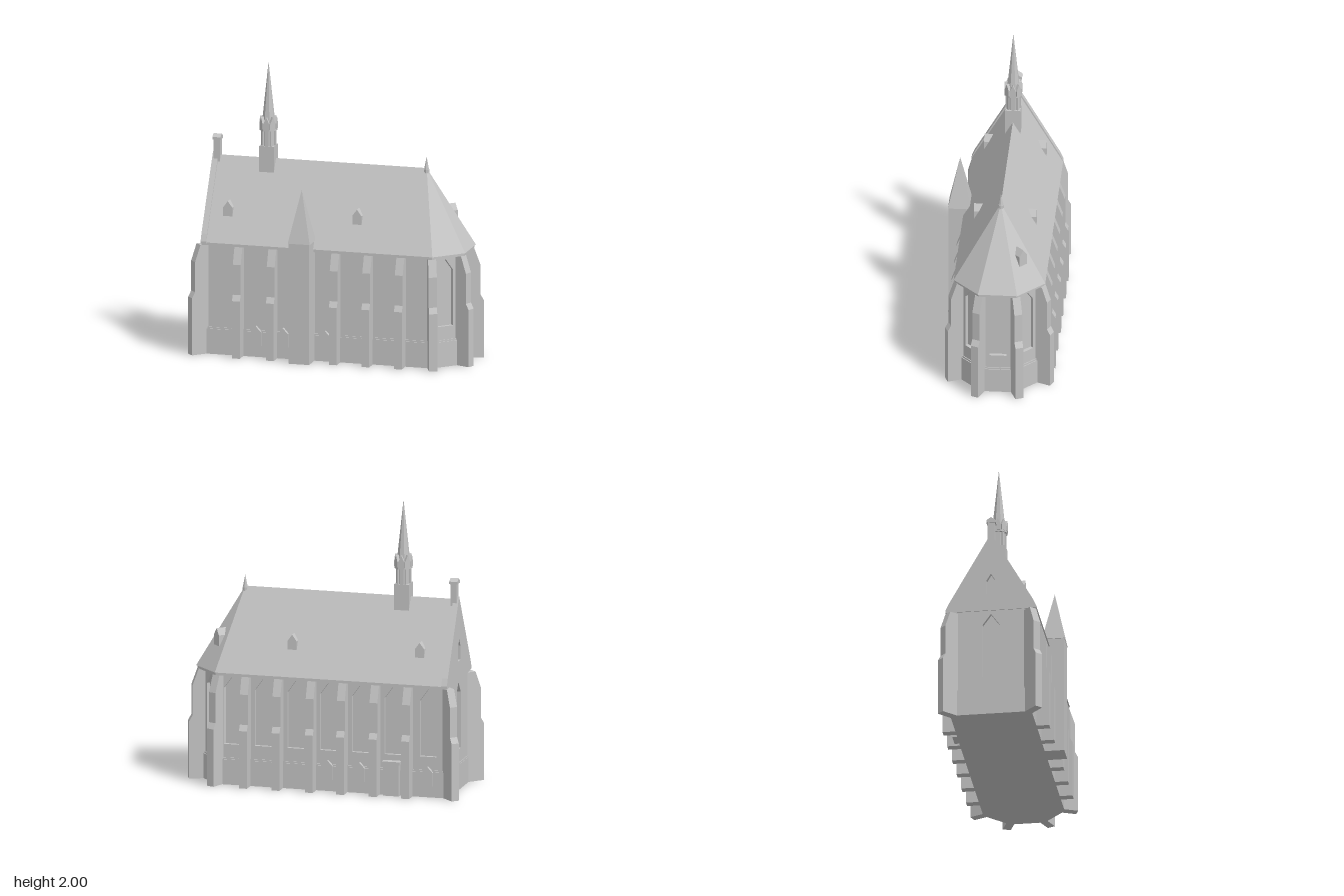
import * as THREE from 'three';

const ZC = -0.0225; // ridge line
const HW = 0.2675;  // half width of the nave walls
const T = Math.tan(Math.PI / 8);

export function createModel() {
  const root = new THREE.Group();
  root.name = 'chapel';
  const stone = new THREE.MeshStandardMaterial({ color: 0xc4c4c4 });
  stone.name = 'stoneGrey';
  stone.flatShading = true;

  const add = (name, geo, x = 0, y = 0, z = 0, ry = 0) => {
    const m = new THREE.Mesh(geo, stone);
    m.name = name;
    m.position.set(x, y, z);
    m.rotation.y = ry;
    root.add(m);
    return m;
  };
  const box = (name, w, h, d, x, y, z) => add(name, new THREE.BoxGeometry(w, h, d), x, y + h / 2, z);
  const shapeOf = pts => new THREE.Shape(pts.map(p => new THREE.Vector2(p[0], p[1])));
  const extrude = (shape, depth) => new THREE.ExtrudeGeometry(shape, { depth, bevelEnabled: false });

  // pointed outline, used for windows, dormers and gablets
  const pointed = (u, w, y0, y1, top) => [
    [u - w / 2, y0], [u + w / 2, y0], [u + w / 2, y1], [u, top], [u - w / 2, y1]];

  // plan outline, pushed outwards by o (west side by ow)
  const foot = (o, ow = 0) => [
    [-0.905 - ow, ZC + HW + o], [0.71 + T * o, ZC + HW + o], [0.865 + o, ZC + 0.115 + T * o],
    [0.865 + o, ZC - 0.115 - T * o], [0.71 + T * o, ZC - HW - o], [-0.905 - ow, ZC - HW - o]];
  const prism = (name, pts, y, h) => {
    const g = extrude(shapeOf(pts.map(p => [p[0], -p[1]])), h);
    g.rotateX(-Math.PI / 2);
    return add(name, g, 0, y, 0);
  };

  // solid core, plinth and eaves
  prism('wallCore', foot(-0.025, -0.025), 0, 0.78);
  prism('plinth', foot(0.012, 0.006), 0, 0.175);
  prism('plinthMoulding', foot(0.006, 0.004), 0.175, 0.012);
  prism('eavesBand', foot(0.037, 0), 0.765, 0.02);

  // outer wall skins with pointed window openings
  const P = foot(0);
  const backBays = [-0.765, -0.515, -0.285, -0.06, 0.17, 0.4, 0.62];
  const mid = (-0.905 + 0.71) / 2;
  const openings = [[], [0], [0], [0], backBays.map(x => mid - x), [0]];
  P.forEach((a, i) => {
    const b = P[(i + 1) % P.length];
    const dx = b[0] - a[0], dz = b[1] - a[1], len = Math.hypot(dx, dz);
    const s = shapeOf([[-len / 2, 0], [len / 2, 0], [len / 2, 0.78], [-len / 2, 0.78]]);
    for (const u of openings[i]) {
      s.holes.push(new THREE.Path(shapeOf(pointed(u, 0.115, 0.28, 0.67, 0.75)).getPoints()));
    }
    const ry = Math.atan2(-dz, dx);
    const g = extrude(s, 0.026);
    g.translate(0, 0, -0.026);
    add('wall', g, (a[0] + b[0]) / 2, 0, (a[1] + b[1]) / 2, ry);
  });

  // west gable with coping and a small window
  const gable = shapeOf([[-0.3125, 0.775], [0.3125, 0.775], [0.3125, 0.79], [0.29, 0.84],
    [0, 1.35], [-0.29, 0.84], [-0.3125, 0.79]]);
  gable.holes.push(new THREE.Path(shapeOf(pointed(0, 0.06, 0.9, 1.0, 1.05)).getPoints()));
  add('westGable', extrude(gable, 0.04), -0.87, 0, ZC, -Math.PI / 2);
  box('gableWindowBack', 0.01, 0.2, 0.1, -0.875, 0.88, ZC);

  // roof with faceted east end
  const E = foot(0.045).map(p => [p[0], 0.785, p[1]]);
  const R0 = [-0.905, 1.33, ZC], R1 = [0.6, 1.33, ZC];
  const [A, B, C, D, F, G] = E;
  const tris = [A, B, R1, A, R1, R0, B, C, R1, C, D, R1, D, F, R1, F, G, R0, F, R0, R1,
    A, G, F, A, F, B, B, F, D, B, D, C];
  const roof = new THREE.BufferGeometry();
  roof.setAttribute('position', new THREE.Float32BufferAttribute(tris.flat(), 3));
  roof.computeVertexNormals();
  add('roof', roof);

  // stepped buttresses
  const buttressShape = shapeOf([[-0.05, 0], [0.1, 0], [0.1, 0.4], [0.077, 0.44],
    [0.077, 0.65], [0.035, 0.765], [-0.05, 0.765]]);
  const bg = extrude(buttressShape, 0.056);
  bg.translate(0, 0, -0.028);
  bg.rotateY(-Math.PI / 2);
  const buttress = (x, z, ry) => add('buttress', bg, x, 0, z, ry);
  for (const x of [-0.645, -0.405, 0.04, 0.27, 0.5]) buttress(x, ZC + HW, 0);
  for (const x of [-0.63, -0.4, -0.17, 0.05, 0.285, 0.515]) buttress(x, ZC - HW, Math.PI);
  const corner = [-2, 1, 3, 5, 7, 10].map(k => k * Math.PI / 8); // outward angle at each corner
  P.forEach((p, i) => buttress(p[0], p[1], corner[i]));

  // stair turret on the front
  box('turret', 0.145, 0.84, 0.15, -0.187, 0, 0.315);
  const cap = new THREE.ConeGeometry(0.078 * Math.SQRT2, 0.365, 4);
  cap.rotateY(Math.PI / 4);
  add('turretRoof', cap, -0.187, 0.84 + 0.1825, 0.315);

  // cellar windows on the plinth
  const cellar = extrude(shapeOf(pointed(0, 0.075, 0.08, 0.175, 0.215)), 0.04);
  for (const x of [-0.525, -0.335, -0.037]) add('cellarWindow', cellar, x, 0, ZC + HW - 0.015);
  for (const x of [-0.765, -0.285, -0.06]) add('cellarWindow', cellar, x, 0, ZC - HW + 0.015, Math.PI);

  // small block porch at the back
  box('backPorch', 0.11, 0.22, 0.06, -0.515, 0, ZC - HW - 0.015);
  box('backPorchSlab', 0.125, 0.02, 0.07, -0.515, 0.22, ZC - HW - 0.015);

  // dormers
  const dg = extrude(shapeOf(pointed(0, 0.065, 0.94, 1.015, 1.06)), 0.1);
  dg.translate(0, 0, -0.1);
  for (const x of [-0.745, 0.168]) add('dormer', dg, x, 0, ZC + 0.215);
  for (const x of [-0.69, 0.21]) add('dormer', dg, x, 0, ZC - 0.215, Math.PI);
  add('dormer', dg, 0.757, 0, -0.187, Math.PI * 0.75);

  // chimney on the gable
  box('chimney', 0.045, 0.19, 0.05, -0.877, 1.26, ZC);
  const capG = extrude(shapeOf([[-0.032, 0], [0.032, 0], [0.032, 0.018], [0, 0.038], [-0.032, 0.018]]), 0.058);
  capG.translate(0, 0, -0.029);
  add('chimneyCap', capG, -0.877, 1.438, ZC, Math.PI / 2);

  // finial at the east end of the ridge
  add('finial', new THREE.ConeGeometry(0.02, 0.1, 8), 0.6, 1.36, ZC);
  add('finialFoot', new THREE.CylinderGeometry(0.02, 0.02, 0.04, 8), 0.6, 1.3, ZC);

  // ridge spire
  const SX = -0.517;
  const octagon = (name, r0, r1, y, h) => {
    const g = new THREE.CylinderGeometry(r1, r0, h, 8);
    g.rotateY(Math.PI / 8);
    add(name, g, SX, y + h / 2, ZC);
  };
  box('spireBase', 0.104, 0.22, 0.104, SX, 1.2, ZC);
  octagon('spireLantern', 0.045, 0.045, 1.42, 0.11);
  for (let k = 0; k < 8; k++) {
    const a = k * Math.PI / 4, s = Math.sin(a), c = Math.cos(a);
    const post = new THREE.BoxGeometry(0.02, 0.11, 0.02);
    add('lanternPost', post, SX + s * 0.042, 1.475, ZC + c * 0.042, a);
    const gablet = extrude(shapeOf(pointed(0, 0.042, 0, 0.04, 0.085)), 0.06);
    add('gablet', gablet, SX, 1.537, ZC, a);
  }
  octagon('lanternCornice', 0.062, 0.062, 1.525, 0.012);
  octagon('spire', 0.05, 0.001, 1.537, 0.458);

  return root;
}
